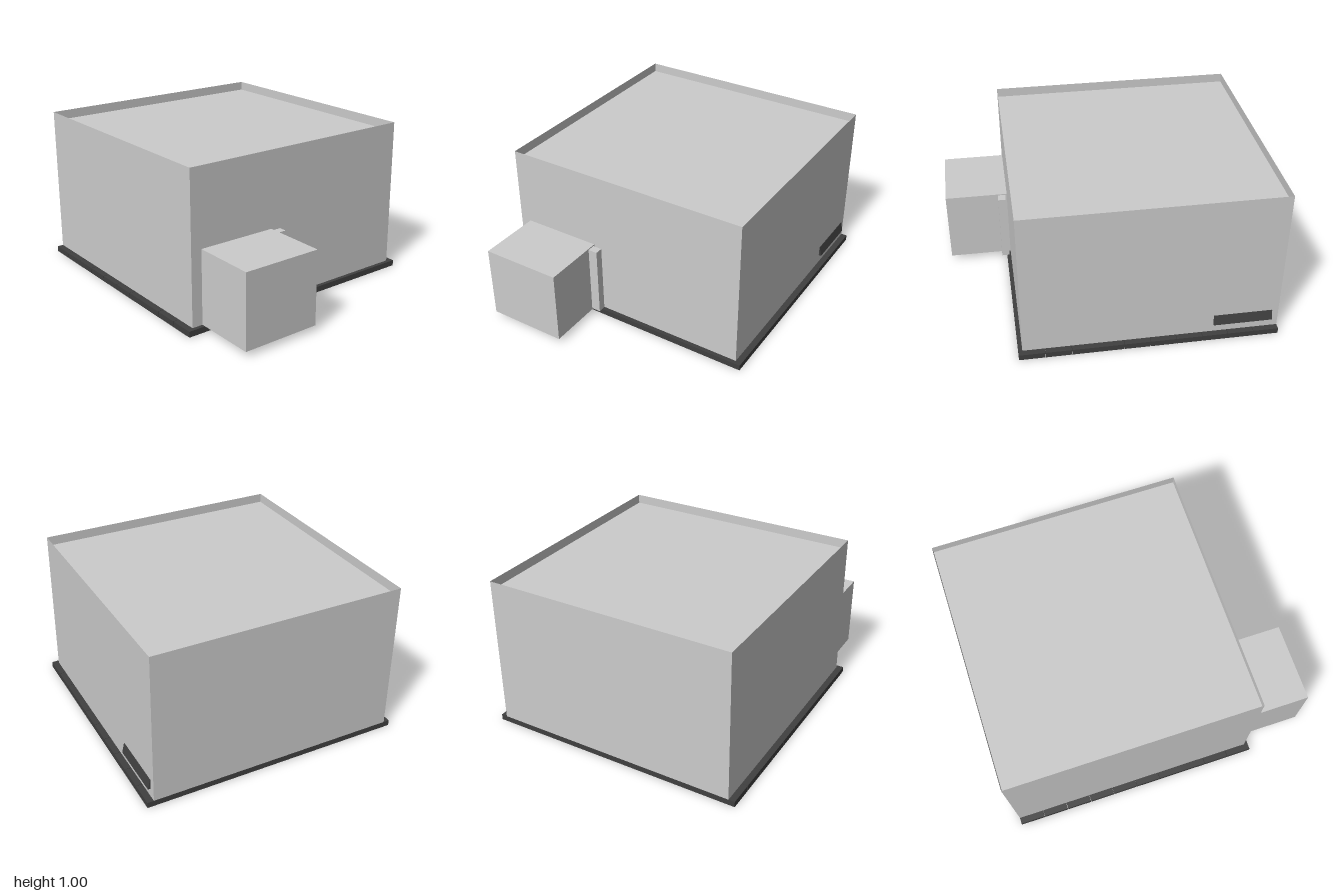
import * as THREE from 'three';

export function createModel() {
  const model = new THREE.Group();
  const grey = new THREE.MeshStandardMaterial({ color: 0xcccccc, flatShading: true });
  const greyThin = new THREE.MeshStandardMaterial({ color: 0xcccccc, flatShading: true, side: THREE.DoubleSide });
  const dark = new THREE.MeshStandardMaterial({ color: 0x404040, flatShading: true });

  function add(parent, name, geometry, material) {
    const mesh = new THREE.Mesh(geometry, material);
    mesh.name = name;
    parent.add(mesh);
    return mesh;
  }

  // Box given by its minimum and maximum corners
  function box(parent, name, [x0, y0, z0], [x1, y1, z1], material) {
    const mesh = add(parent, name, new THREE.BoxGeometry(x1 - x0, y1 - y0, z1 - z0), material);
    mesh.position.set((x0 + x1) / 2, (y0 + y1) / 2, (z0 + z1) / 2);
    return mesh;
  }

  const left = -1, right = 0.595, halfDepth = 0.8, base = 0.037, top = 1, roofY = 0.94;
  const midX = (left + right) / 2, width = right - left, height = top - base;

  // Base planks, laid side by side with hairline gaps
  const planks = new THREE.Group();
  planks.name = 'basePlanks';
  model.add(planks);
  const count = 10, pitch = 1.62 / count, gap = 0.003;
  for (let i = 0; i < count; i++) {
    const x = left + i * pitch;
    const end = i === 6 || i === count - 1 ? x + pitch : x + pitch - gap;
    box(planks, 'plank', [x, 0, -0.84], [end, base, 0.84], dark);
  }

  // Thin outer walls rising above the roof as a parapet
  const walls = new THREE.Group();
  walls.name = 'walls';
  model.add(walls);
  for (const side of [1, -1]) {
    const endWall = add(walls, side > 0 ? 'frontWall' : 'backWall', new THREE.PlaneGeometry(width, height), greyThin);
    endWall.position.set(midX, base + height / 2, side * halfDepth);
    endWall.rotation.y = side > 0 ? 0 : Math.PI;
    const sideWall = add(walls, side > 0 ? 'leftWall' : 'rightWall', new THREE.PlaneGeometry(2 * halfDepth, height), greyThin);
    sideWall.position.set(midX + side * width / 2, base + height / 2, 0);
    sideWall.rotation.y = side * Math.PI / 2;
  }

  // Sunken flat roof
  const roof = add(model, 'roof', new THREE.PlaneGeometry(width, 2 * halfDepth), greyThin);
  roof.rotation.x = -Math.PI / 2;
  roof.position.set(midX, roofY, 0);

  // Side annex and the narrow duct beside it
  box(model, 'sideAnnex', [right, base, 0.22], [1, 0.51, 0.73], grey);
  box(model, 'sideDuct', [0.605, 0.045, 0.16], [0.655, 0.503, 0.225], grey);

  // Wedge-shaped vent hood low on the back wall
  const profile = new THREE.Shape([
    new THREE.Vector2(-0.797, 0.16),
    new THREE.Vector2(-0.803, 0.16),
    new THREE.Vector2(-0.817, 0.095),
    new THREE.Vector2(-0.797, 0.095),
  ]);
  const hood = add(model, 'ventHood', new THREE.ExtrudeGeometry(profile, { depth: 0.37, bevelEnabled: false }), dark);
  hood.rotation.y = -Math.PI / 2;
  hood.position.x = -0.59;

  return model;
}
